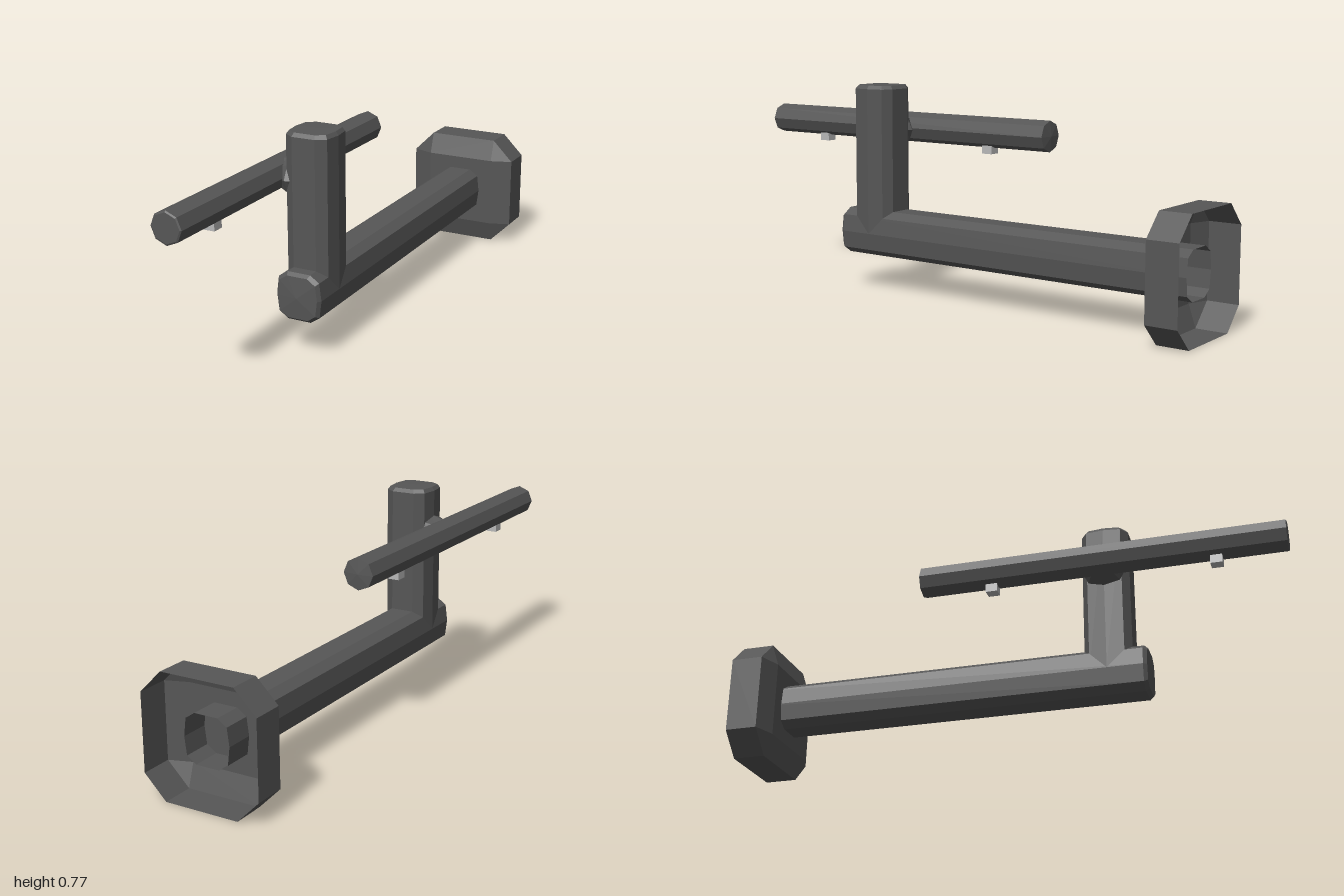
import * as THREE from 'three';

// Loft a counter-clockwise outline along z. Each ring is [z, outline];
// capped ends are fans whose tips may bulge beyond the end ring.
function loft(rings, backTip = null, frontTip = null) {
  const pos = [];
  const n = rings[0][1].length;
  const at = (r, i) => [...rings[r][1][i % n], rings[r][0]];
  for (let r = 0; r < rings.length - 1; r++) {
    for (let i = 0; i < n; i++) {
      const a = at(r, i), b = at(r, i + 1), c = at(r + 1, i + 1), d = at(r + 1, i);
      pos.push(...a, ...b, ...c, ...a, ...c, ...d);
    }
  }
  const last = rings.length - 1;
  for (let i = 0; i < n; i++) {
    if (backTip !== null) pos.push(...at(0, i + 1), ...at(0, i), 0, 0, backTip);
    if (frontTip !== null) pos.push(...at(last, i), ...at(last, i + 1), 0, 0, frontTip);
  }
  const g = new THREE.BufferGeometry();
  g.setAttribute('position', new THREE.Float32BufferAttribute(pos, 3));
  g.computeVertexNormals();
  return g;
}

const scaled = (pts, sx, sy = sx) => pts.map(([x, y]) => [x * sx, y * sy]);
const polygon = (n, r) => Array.from({ length: n }, (_, i) => {
  const a = (i / n) * Math.PI * 2;
  return [Math.cos(a) * r, Math.sin(a) * r];
});

export function createModel() {
  const body = new THREE.MeshStandardMaterial({ color: 0x565656, flatShading: true, side: THREE.DoubleSide });
  body.name = 'dark grey';
  const light = new THREE.MeshStandardMaterial({ color: 0xb8b8b8, flatShading: true });
  light.name = 'light grey';

  const model = new THREE.Group();
  model.name = 'wallHolder';
  const add = (name, geometry, material, x, y, z) => {
    const mesh = new THREE.Mesh(geometry, material);
    mesh.name = name;
    mesh.position.set(x, y, z);
    model.add(mesh);
    return mesh;
  };

  // Softened square section shared by the arm and the post
  const tube = [
    [0.085, 0], [0.077, 0.062], [0.043, 0.085], [-0.043, 0.085], [-0.077, 0.062],
    [-0.085, 0], [-0.077, -0.062], [-0.043, -0.085], [0.043, -0.085], [0.077, -0.062],
  ];

  // Wall plate: hollow shell, open at the back, bevelled to a square face
  const w = 0.215, c = 0.135;
  const rim = [[w, -c], [w, c], [c, w], [-c, w], [-w, c], [-w, -c], [-c, -w], [c, -w]];
  const face = rim.map(([x, y]) => [Math.sign(x) * c, Math.sign(y) * c]);
  add('wallPlate', loft([[-1, rim], [-0.885, rim], [-0.858, face]], null, -0.858), body, 0, 0.217, 0);

  // Horizontal arm: open stub behind the plate, shallow domed front end
  add('arm', loft([[-0.96, tube], [0.475, tube], [0.488, scaled(tube, 0.88)]], null, 0.495), body, 0, 0.218, 0);

  // Upright post with a bevelled top
  const post = add('post', loft([[0, tube], [0.537, tube], [0.55, scaled(tube, 0.89)]], 0, 0.552), body, 0, 0.218, 0.35);
  post.rotation.x = -Math.PI / 2;

  // Long side rail
  const oct = polygon(8, 0.056);
  add('rail', loft([[-0.3, oct], [0.997, oct], [1, scaled(oct, 0.9)]], -0.306, 1), body, -0.143, 0.603, 0);

  // Flared neck joining the rail to the post
  const neckRing = polygon(8, 1);
  const neck = add('neck', loft([
    [0.04, scaled(neckRing, 0.07, 0.05)],
    [0.078, scaled(neckRing, 0.08, 0.066)],
    [0.11, scaled(neckRing, 0.06, 0.055)],
    [0.143, scaled(neckRing, 0.056, 0.05)],
  ], 0.04, 0.143), body, 0, 0.598, 0.35);
  neck.rotation.y = -Math.PI / 2;

  // Small studs under the rail
  for (const z of [0.755, -0.04]) {
    add('stud', new THREE.BoxGeometry(0.04, 0.04, 0.042), light, -0.143, 0.545, z);
  }
  return model;
}
